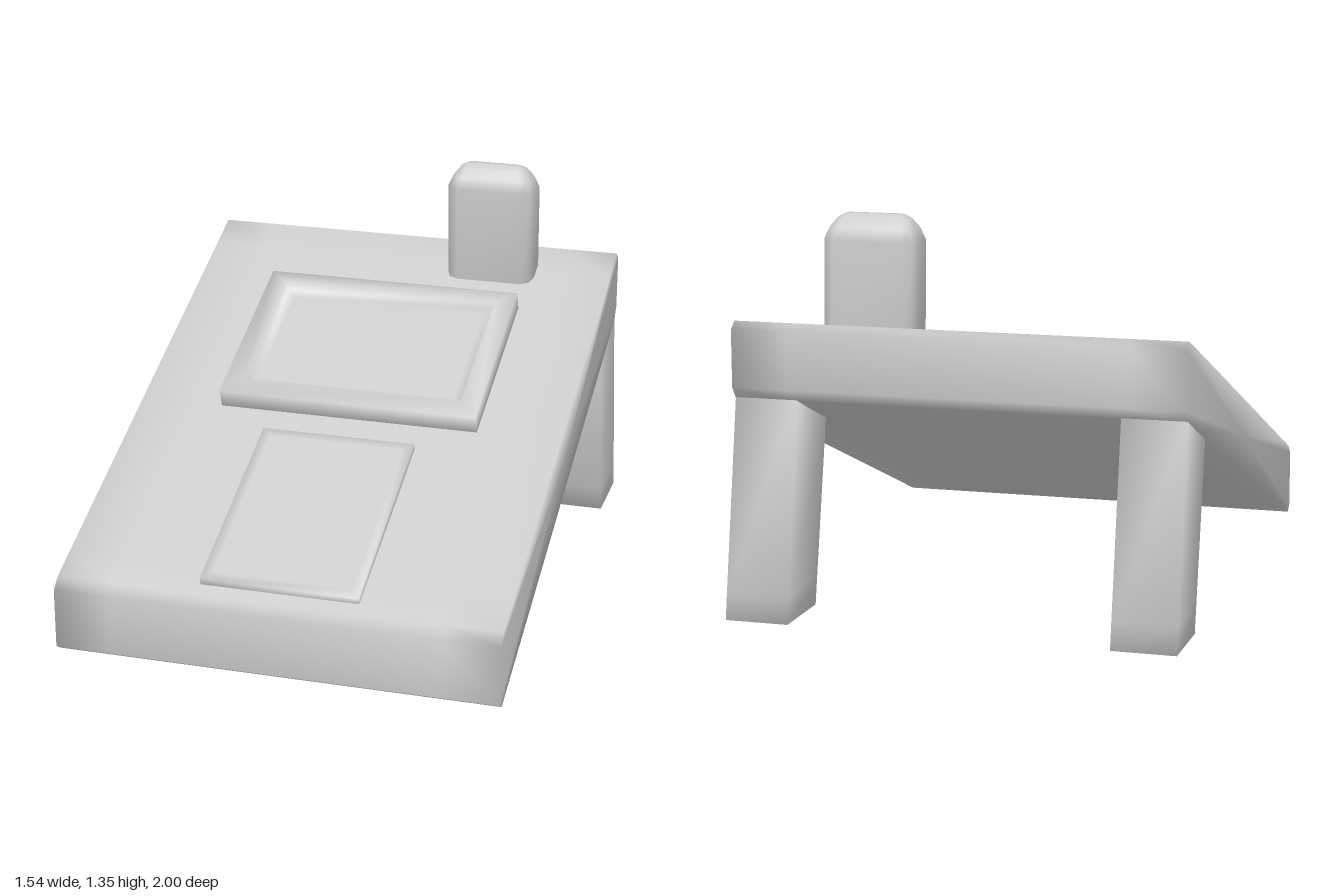
import * as THREE from 'three';

const material = new THREE.MeshStandardMaterial({ color: 0xcccccc });

// Joins rings of [x, y, z] points (counter-clockwise about the travel direction)
// into one smooth closed skin with a fan cap at each end.
function loft(name, rings) {
  const n = rings[0].length;
  const points = rings.flat();
  const index = [];
  for (let i = 0; i < rings.length - 1; i++) {
    for (let j = 0; j < n; j++) {
      const k = (j + 1) % n;
      const a = i * n + j, b = i * n + k, c = b + n, d = a + n;
      index.push(a, b, c, a, c, d);
    }
  }
  const cap = (ring, start, flip) => {
    const centre = points.length;
    points.push([0, 1, 2].map((q) => ring.reduce((s, p) => s + p[q], 0) / n));
    for (let j = 0; j < n; j++) {
      const a = start + j, b = start + ((j + 1) % n);
      index.push(centre, flip ? b : a, flip ? a : b);
    }
  };
  cap(rings[0], 0, true);
  cap(rings[rings.length - 1], (rings.length - 1) * n, false);
  const geometry = new THREE.BufferGeometry();
  geometry.setAttribute('position', new THREE.Float32BufferAttribute(points.flat(), 3));
  geometry.setIndex(index);
  geometry.computeVertexNormals();
  const mesh = new THREE.Mesh(geometry, material);
  mesh.name = name;
  return mesh;
}

// Four-cornered ring at height y
const rect = (x0, x1, zBack, zFront, y) => [
  [x0, y, zFront], [x1, y, zFront], [x1, y, zBack], [x0, y, zBack],
];

// Rounded rectangle ring at height y
function roundRect(cx, cz, hx, hz, r, y) {
  const ring = [];
  const corners = [[1, 1], [1, -1], [-1, -1], [-1, 1]];
  corners.forEach(([sx, sz], q) => {
    for (let s = 0; s <= 2; s++) {
      const t = (q + s / 2) * Math.PI / 2;
      ring.push([
        cx + sx * (hx - r) + r * Math.sin(t),
        y,
        cz + sz * (hz - r) + r * Math.cos(t),
      ]);
    }
  });
  return ring;
}

export function createModel() {
  const model = new THREE.Group();
  model.name = 'slopedConsole';

  // Sloped body: side profile (z, y) carried across the width
  const profile = [
    [-0.87, 0.99], [-0.74, 0.94], [0.1, 0.617], [0.84, 0.331], [0.96, 0.285],
    [1, 0.25], [1, 0.04], [0.97, 0.02],
    [0.84, 0.07], [0.1, 0.354], [-0.74, 0.676], [-0.87, 0.73],
    [-0.9, 0.77], [-0.9, 0.965],
  ];
  model.add(loft('body', [-0.77, -0.58, 0.58, 0.77].map(
    (x) => profile.map(([z, y]) => [x, y, z]))));

  // Parts lying on the slope
  const slope = new THREE.Group();
  slope.name = 'slopeParts';
  slope.position.y = 0.655;
  slope.rotation.x = 0.367;
  model.add(slope);

  // Raised frame with a sunken screen
  slope.add(loft('screenFrame', [
    rect(-0.47, 0.47, -0.568, 0.118, -0.02),
    rect(-0.47, 0.47, -0.568, 0.118, 0.07),
    rect(-0.4, 0.4, -0.509, 0.037, 0.07),
    rect(-0.4, 0.4, -0.509, 0.037, 0.035),
    rect(-0.36, 0.36, -0.47, 0, 0.035),
  ]));

  // Low lower panel
  slope.add(loft('lowerPanel', [
    rect(-0.275, 0.275, 0.236, 0.986, -0.02),
    rect(-0.275, 0.275, 0.236, 0.986, 0.025),
    rect(-0.24, 0.24, 0.27, 0.95, 0.025),
  ]));

  // Upright stub with a rounded top, leaning slightly forward
  const levels = [
    [0.85, -0.738, 0.165, 0.08, 0.045],
    [1.26, -0.723, 0.165, 0.081, 0.045],
    [1.3, -0.722, 0.148, 0.066, 0.04],
    [1.33, -0.722, 0.125, 0.043, 0.03],
    [1.345, -0.722, 0.1, 0.016, 0.012],
  ];
  model.add(loft('antenna', levels.map(
    ([y, z, hx, hz, r]) => roundRect(0.325, z, hx, hz, r, y))));

  // Back legs, splayed backwards
  for (const side of [-1, 1]) {
    const x0 = side > 0 ? 0.55 : -0.769;
    const x1 = side > 0 ? 0.769 : -0.55;
    const top = rect(x0, x1, -0.87, -0.605, 0);
    top.forEach((p, i) => { p[1] = i < 2 ? 0.64 : 0.745; });
    model.add(loft(side > 0 ? 'leftLeg' : 'rightLeg', [
      rect(x0 + 0.03, x1 - 0.03, -0.97, -0.765, 0),
      rect(x0, x1, -1, -0.735, 0),
      rect(x0, x1, -0.985, -0.717, 0.09),
      top,
    ]));
  }

  return model;
}
